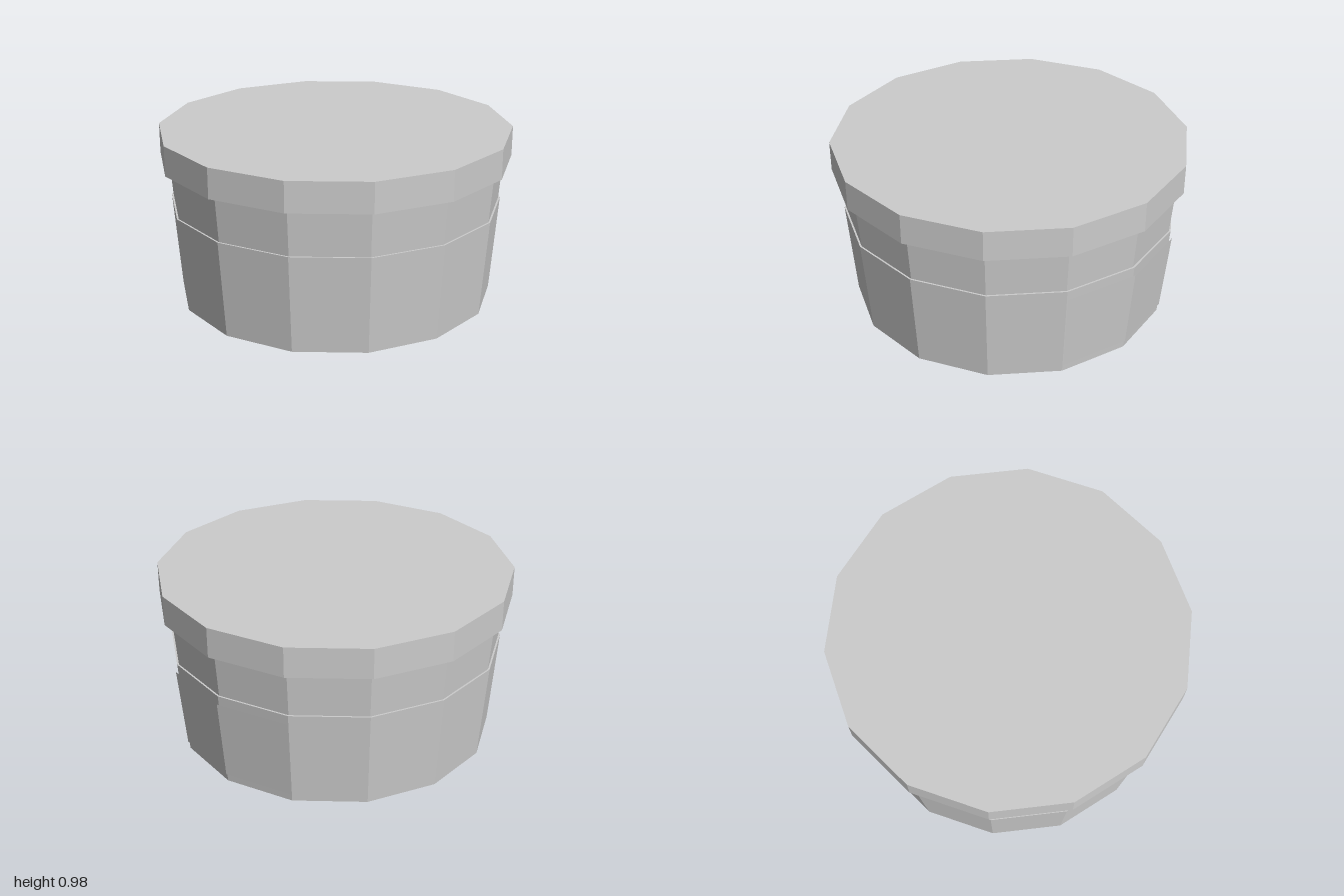
import * as THREE from 'three';

const SIDES = 14;
const STEP = (Math.PI * 2) / SIDES;

export function createModel() {
  const group = new THREE.Group();
  const solid = new THREE.MeshStandardMaterial({ color: 0xcccccc, flatShading: true });
  const sheet = new THREE.MeshStandardMaterial({ color: 0xcccccc, flatShading: true, side: THREE.DoubleSide });

  const add = (name, geometry, y, material) => {
    const mesh = new THREE.Mesh(geometry, material);
    mesh.name = name;
    mesh.position.y = y;
    group.add(mesh);
    return mesh;
  };

  // Fourteen-sided ring with a corner pointing along +x
  const drum = (name, topRadius, bottomRadius, y0, y1) =>
    add(name, new THREE.CylinderGeometry(topRadius, bottomRadius, y1 - y0, SIDES, 1, false, Math.PI / 2),
      (y0 + y1) / 2, solid);

  drum('lowerBody', 0.947, 0.904, 0, 0.555);
  drum('upperBody', 0.957, 0.937, 0.555, 0.81);
  drum('lid', 1, 1, 0.81, 0.98);

  // Side label: a thin sheet folded over the two facets at +x
  add('sideLabel',
    new THREE.CylinderGeometry(0.957, 0.915, 0.465, 2, 1, true, Math.PI / 2 - STEP, STEP * 2),
    0.2775, sheet);

  // Square label lying on the lid
  const lidLabel = add('lidLabel', new THREE.PlaneGeometry(1.06, 1.06), 0.982, sheet);
  lidLabel.rotation.x = -Math.PI / 2;

  return group;
}
